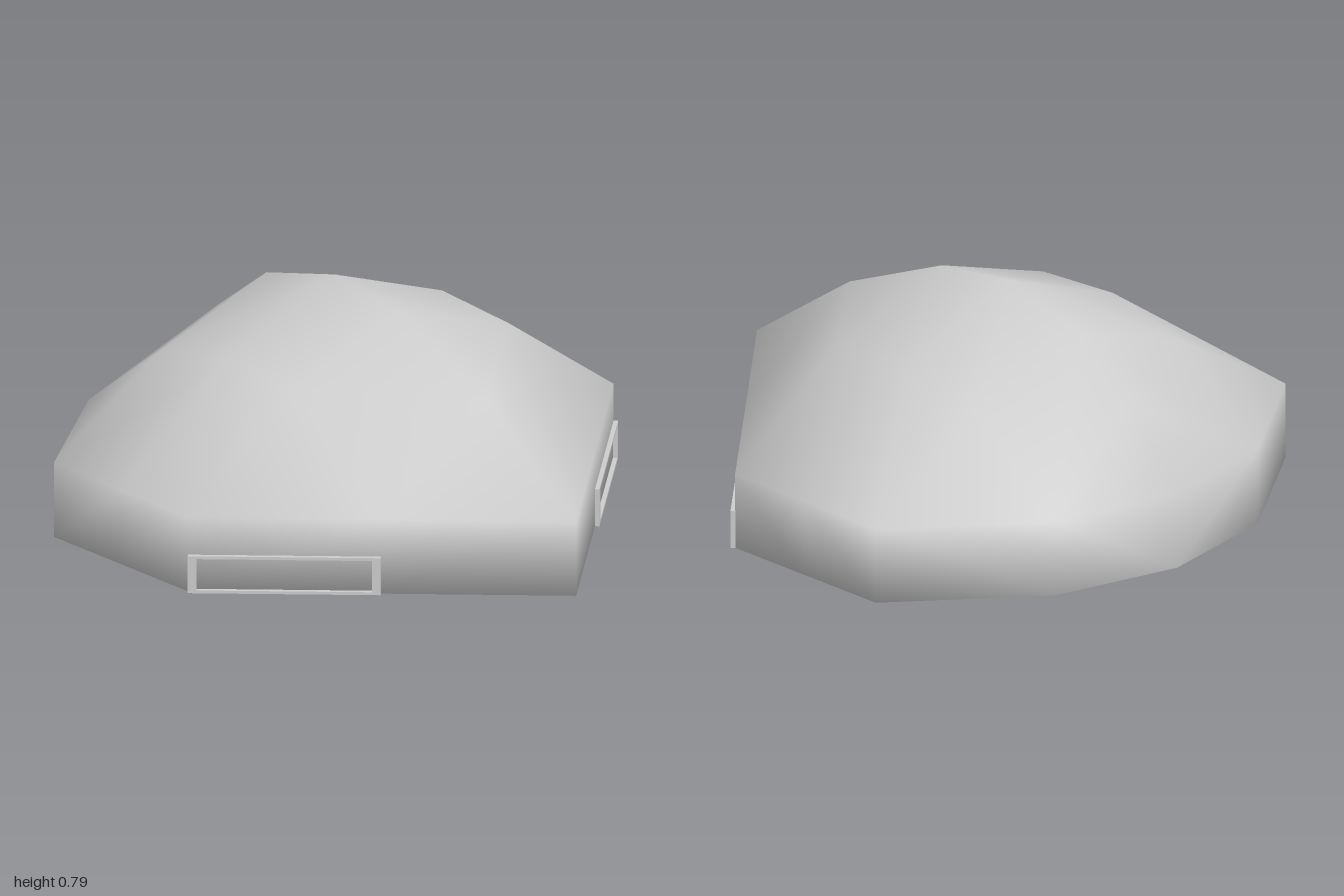
import * as THREE from 'three';
import { mergeVertices } from 'three/addons/utils/BufferGeometryUtils.js';

const material = new THREE.MeshStandardMaterial({ color: 0xcccccc, side: THREE.DoubleSide });

// Cross-section rows of one half (z >= 0), running from the tail (-x) to the nose (+x).
const xs = [-1, -0.9, -0.54, -0.2, 0.13, 0.56, 1];
const rimZ = [0, 0.46, 0.93, 0.93, 0.93, 0.47, 0];
const midZ = [0, 0.46, 0.47, 0.47, 0.47, 0.47, 0];
const midY = [0.26, 0.26, 0.535, 0.61, 0.59, 0.26, 0.26];
const ridgeX = [-1, -0.77, -0.54, -0.2, 0.12, 0.56, 1];
const ridgeY = [0.26, 0.52, 0.695, 0.785, 0.745, 0.56, 0.26];

const rows = [
  xs.map((x) => [x, 0, 0]),                        // floor centre line
  xs.map((x, i) => [x, 0, rimZ[i]]),               // floor edge
  xs.map((x, i) => [x, 0.26, rimZ[i]]),            // top of the wall
  xs.map((x, i) => [x, midY[i], midZ[i]]),         // shoulder
  ridgeX.map((x, i) => [x, ridgeY[i], 0]),         // ridge
].map((row) => row.map((p) => new THREE.Vector3(...p)));

function createShell() {
  const positions = [];
  const addTriangle = (a, b, c) => {
    if (new THREE.Triangle(a, b, c).getArea() < 1e-6) return;
    for (const p of [a, b, c]) positions.push(p.x, p.y, p.z);
    // mirrored twin, wound the other way
    for (const p of [a, c, b]) positions.push(p.x, p.y, p.z === 0 ? 0 : -p.z);
  };
  for (let r = 0; r < rows.length - 1; r++) {
    for (let i = 0; i < xs.length - 1; i++) {
      const [a, b] = [rows[r][i], rows[r][i + 1]];
      const [d, c] = [rows[r + 1][i], rows[r + 1][i + 1]];
      addTriangle(a, b, c);
      addTriangle(a, c, d);
    }
  }
  const geometry = new THREE.BufferGeometry();
  geometry.setAttribute('position', new THREE.Float32BufferAttribute(positions, 3));
  const merged = mergeVertices(geometry);
  merged.computeVertexNormals();
  return merged;
}

function rectangle(PathType, x, y0, y1) {
  const path = new PathType();
  path.moveTo(-x, y0);
  path.lineTo(x, y0);
  path.lineTo(x, y1);
  path.lineTo(-x, y1);
  path.closePath();
  return path;
}

// Shallow rectangular frame around a wall opening
function createFrame() {
  const shape = rectangle(THREE.Shape, 0.317, 0, 0.13);
  shape.holes.push(rectangle(THREE.Path, 0.288, 0.01, 0.12));
  const geometry = new THREE.ExtrudeGeometry(shape, { depth: 0.035, bevelEnabled: false });
  return geometry.translate(0, 0, -0.02);
}

export function createModel() {
  const model = new THREE.Group();
  model.name = 'facetedDome';

  const shell = new THREE.Mesh(createShell(), material);
  shell.name = 'shell';
  model.add(shell);

  // One frame on each slanted wall beside the nose
  const frameGeometry = createFrame();
  for (const side of [1, -1]) {
    const frame = new THREE.Mesh(frameGeometry, material);
    frame.name = side > 0 ? 'frontWallFrame' : 'backWallFrame';
    frame.position.set(0.345, 0, 0.7 * side);
    frame.rotation.y = Math.atan2(0.46, 0.43 * side);
    model.add(frame);
  }
  return model;
}
